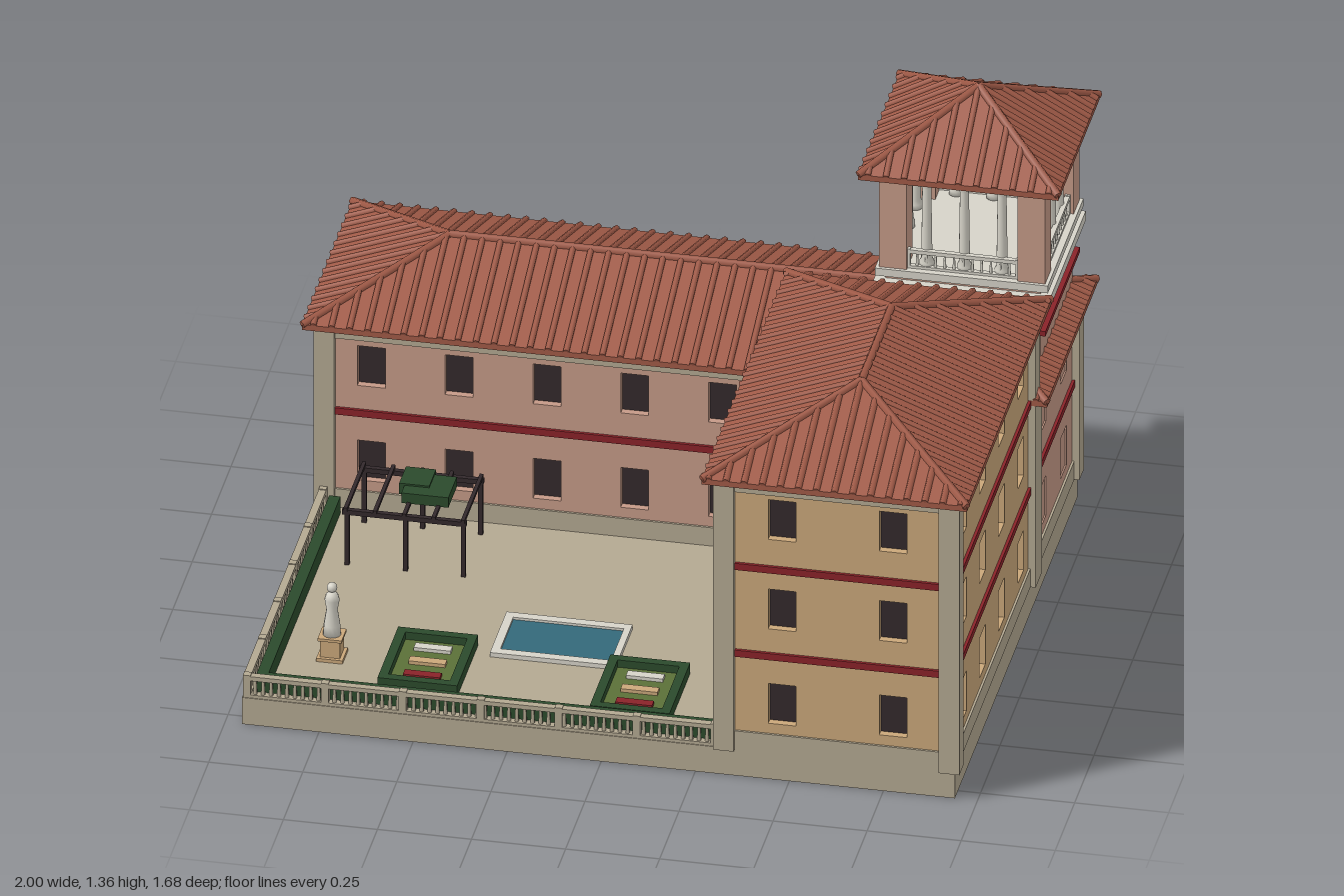
import * as THREE from 'three';
import { mergeGeometries } from 'three/addons/utils/BufferGeometryUtils.js';

const mat = (name, color, extra = {}) => {
  const m = new THREE.MeshStandardMaterial({ color, ...extra });
  m.name = name;
  return m;
};
const M = {
  tile: mat('roofTile', 0xa05a47), pink: mat('pinkPlaster', 0xc59a87), ochre: mat('ochrePlaster', 0xcaa77a),
  stone: mat('stone', 0xb3a891), red: mat('redBand', 0x8a2329), dark: mat('darkOpening', 0x33292c),
  white: mat('paleMarble', 0xd6d3c8), hedge: mat('hedgeGreen', 0x2b4a2c), grass: mat('grassGreen', 0x5b7038),
  water: mat('poolWater', 0x34697a),
};

export function createModel() {
  const model = new THREE.Group();
  model.name = 'villa';

  const add = (name, geo, m, parent = model) => {
    const mesh = new THREE.Mesh(geo, m);
    mesh.name = name;
    parent.add(mesh);
    return mesh;
  };
  // box geometry and mesh from min/max extents
  const boxGeo = (x0, x1, y0, y1, z0, z1) =>
    new THREE.BoxGeometry(x1 - x0, y1 - y0, z1 - z0).translate((x0 + x1) / 2, (y0 + y1) / 2, (z0 + z1) / 2);
  const box = (name, m, x0, x1, y0, y1, z0, z1, parent) => add(name, boxGeo(x0, x1, y0, y1, z0, z1), m, parent);
  const group = (name) => {
    const g = new THREE.Group();
    g.name = name;
    model.add(g);
    return g;
  };
  const rod = (p, q, r) => {
    const d = q.clone().sub(p);
    const turn = new THREE.Quaternion().setFromUnitVectors(new THREE.Vector3(0, 1, 0), d.clone().normalize());
    return new THREE.CylinderGeometry(r, r, d.length(), 6).applyQuaternion(turn)
      .translate(...p.clone().add(q).multiplyScalar(0.5).toArray());
  };

  // hipped roof with tile ribs running down every slope
  function hipRoof(name, x0, x1, z0, z1, y, h) {
    const g = group(name);
    const turned = z1 - z0 > x1 - x0;
    const a = Math.max(x1 - x0, z1 - z0) / 2, b = Math.min(x1 - x0, z1 - z0) / 2, r = a - b;
    const V = (px, py, pz) => new THREE.Vector3(px, py, pz);
    const A = V(-a, 0, b), B = V(a, 0, b), C = V(a, 0, -b), D = V(-a, 0, -b), P = V(-r, h, 0), Q = V(r, h, 0);
    const slopes = new THREE.BufferGeometry().setFromPoints([A, B, Q, A, Q, P, B, C, Q, C, D, P, C, P, Q, D, A, P]);
    slopes.computeVertexNormals();
    add('roofSlopes', slopes, M.tile, g);
    box('eaves', M.tile, -a, a, -0.016, 0, -b, b, g);
    const ribs = [];
    const step = 0.048;
    for (const s of [1, -1]) {
      const n = Math.floor(a / step), k = Math.floor(b / step);
      for (let i = -n; i <= n; i++) {
        const t = i * step, d = Math.min(b, a - Math.abs(t));
        if (d > 0.01) ribs.push(rod(V(t, 0, s * b), V(t, h * d / b, s * (b - d)), 0.009));
      }
      for (let i = -k; i <= k; i++) {
        const t = i * step, d = b - Math.abs(t);
        if (d > 0.01) ribs.push(rod(V(s * a, 0, t), V(s * (a - d), h * d / b, t), 0.009));
      }
    }
    add('tileRibs', mergeGeometries(ribs), M.tile, g);
    const caps = [rod(A, P, 0.011), rod(D, P, 0.011), rod(B, Q, 0.011), rod(C, Q, 0.011)];
    if (r > 0.02) caps.push(rod(P, Q, 0.011));
    add('ridgeCaps', mergeGeometries(caps), M.tile, g);
    if (turned) g.rotation.y = Math.PI / 2;
    g.position.set((x0 + x1) / 2, y, (z0 + z1) / 2);
  }

  // building wing: dark core, pierced wall panels, corner pilasters, bands and frieze
  function wing(name, m, x0, x1, z0, z1, top, sills, bands, windows) {
    const g = group(name);
    const cx = (x0 + x1) / 2, cz = (z0 + z1) / 2, bottom = 0.08;
    const inset = (n, mm, i, y0, y1) => box(n, mm, x0 + i, x1 - i, y0, y1, z0 + i, z1 - i, g);
    inset('darkInterior', M.dark, 0.04, bottom, top);
    inset('plinth', M.stone, 0.014, bottom, 0.135);
    inset('frieze', M.stone, 0.012, top - 0.035, top);
    bands.forEach((y) => inset('stringCourse', M.red, 0.012, y - 0.01, y + 0.01));
    const sides = [
      ['frontWall', 0, x1 - x0, z1 - z0, windows.front.map((x) => x - cx)],
      ['rightWall', Math.PI / 2, z1 - z0, x1 - x0, windows.side.map((z) => cz - z)],
      ['backWall', Math.PI, x1 - x0, z1 - z0, windows.back.map((x) => cx - x)],
      ['leftWall', -Math.PI / 2, z1 - z0, x1 - x0, windows.side.map((z) => z - cz)],
    ];
    for (const [n, angle, w, depth, us] of sides) {
      const e = w / 2 - 0.02;
      const rect = (T, l, rr, y0, y1) => new T([[l, y0], [rr, y0], [rr, y1], [l, y1]].map((p) => new THREE.Vector2(...p)));
      const shape = rect(THREE.Shape, -e, e, bottom, top);
      for (const u of us) for (const y of sills) shape.holes.push(rect(THREE.Path, u - 0.037, u + 0.037, y, y + 0.12));
      const geo = new THREE.ExtrudeGeometry(shape, { depth: 0.02, bevelEnabled: false });
      const wall = add(n, geo.translate(0, 0, depth / 2 - 0.04).rotateY(angle), m, g);
      wall.position.set(cx, 0, cz);
    }
    for (const x of [x0, x1 - 0.055]) for (const z of [z0, z1 - 0.055])
      box('cornerPilaster', M.stone, x, x + 0.055, bottom, top, z, z + 0.055, g);
  }

  // balustrade between two points, with regular posts
  function balustrade(name, m, xa, za, xb, zb, y, h, gap, postGap, thick) {
    const dx = xb - xa, dz = zb - za, len = Math.hypot(dx, dz), parts = [];
    const t = thick / 2;
    for (const [y0, y1] of [[y, y + h * 0.14], [y + h * 0.8, y + h]])
      parts.push(boxGeo(Math.min(xa, xb) - t, Math.max(xa, xb) + t, y0, y1, Math.min(za, zb) - t, Math.max(za, zb) + t));
    const n = Math.round(len / gap), k = Math.max(1, Math.round(len / postGap));
    for (let i = 1; i < n; i++)
      parts.push(new THREE.CylinderGeometry(t * 0.4, t * 0.6, h * 0.7, 6).translate(xa + dx * i / n, y + h * 0.46, za + dz * i / n));
    for (let i = 0; i <= k; i++)
      parts.push(new THREE.BoxGeometry(thick, h * 1.04, thick).translate(xa + dx * i / k, y + h * 0.52, za + dz * i / k));
    add(name, mergeGeometries(parts), m);
  }

  // base and main wings
  box('terraceBase', M.stone, -0.955, 0.94, 0, 0.08, -0.79, 0.79);
  wing('rearWing', M.pink, -0.97, 0.955, -0.8, -0.205, 0.625, [0.165, 0.45], [0.37], {
    front: [-0.82, -0.587, -0.353, -0.12, 0.113],
    back: [-0.82, -0.587, -0.353, -0.12, 0.113, 0.35, 0.587, 0.82], side: [-0.373, -0.635],
  });
  hipRoof('rearRoof', -0.995, 0.985, -0.83, -0.18, 0.643, 0.125);
  wing('frontWing', M.ochre, 0.3, 0.955, -0.235, 0.805, 0.892, [0.165, 0.45, 0.72], [0.37, 0.632], {
    front: [0.48, 0.775], back: [], side: [0.655, 0.41, 0.165, -0.085],
  });
  hipRoof('frontRoof', 0.275, 0.98, -0.26, 0.83, 0.908, 0.138);

  // belvedere tower
  const tx = 0.725, tz = -0.567;
  const slab = (n, m, half, y0, y1) => box(n, m, tx - half, tx + half, y0, y1, tz - half, tz + half);
  slab('towerShaft', M.pink, 0.206, 0.08, 0.88);
  slab('towerBand', M.red, 0.222, 0.742, 0.757);
  slab('lowerCornice', M.white, 0.235, 0.832, 0.86);
  slab('upperCornice', M.white, 0.23, 0.878, 0.9);
  slab('towerCeiling', M.white, 0.228, 1.165, 1.182);
  const column = new THREE.LatheGeometry([[0, 0], [0.02, 0], [0.02, 0.015], [0.015, 0.025], [0.012, 0.235],
    [0.018, 0.25], [0.018, 0.268], [0, 0.268]].map((p) => new THREE.Vector2(...p)), 12);
  for (const s of [-1, 1]) {
    for (const t of [-1, 1]) {
      const x = tx + s * 0.184, z = tz + t * 0.184;
      box('towerPier', M.pink, x - 0.037, x + 0.037, 0.9, 1.168, z - 0.037, z + 0.037);
    }
    for (const o of [-0.1, 0, 0.1]) {
      add('towerColumn', column, M.white).position.set(tx + o, 0.9, tz + s * 0.19);
      add('towerColumn', column, M.white).position.set(tx + s * 0.19, 0.9, tz + o);
    }
    balustrade('towerBalustrade', M.white, tx - 0.147, tz + s * 0.205, tx + 0.147, tz + s * 0.205, 0.9, 0.055, 0.025, 1, 0.014);
    balustrade('towerBalustrade', M.white, tx + s * 0.205, tz - 0.147, tx + s * 0.205, tz + 0.147, 0.9, 0.055, 0.025, 1, 0.014);
  }
  hipRoof('towerRoof', 0.458, 0.99, -0.833, -0.301, 1.198, 0.148);

  // terrace edge and hedges
  balustrade('frontBalustrade', M.stone, -0.943, 0.778, 0.3, 0.778, 0.08, 0.064, 0.021, 0.21, 0.02);
  balustrade('sideBalustrade', M.stone, -0.943, -0.2, -0.943, 0.778, 0.08, 0.064, 0.021, 0.21, 0.02);
  box('sideHedge', M.hedge, -0.925, -0.895, 0.08, 0.13, -0.19, 0.765);
  box('frontHedge', M.hedge, -0.925, 0.31, 0.08, 0.13, 0.733, 0.765);

  // pool
  box('poolWater', M.water, -0.345, -0.045, 0.08, 0.086, 0.262, 0.432);
  for (const [x0, x1, z0, z1] of [[-0.365, -0.03, 0.24, 0.265], [-0.365, -0.03, 0.43, 0.455],
    [-0.365, -0.342, 0.265, 0.43], [-0.048, -0.03, 0.265, 0.43]])
    box('poolCoping', M.white, x0, x1, 0.08, 0.093, z0, z1);

  // hedged flower beds
  for (const [x, z] of [[-0.513, 0.538], [0.057, 0.567]]) {
    box('bedLawn', M.grass, x - 0.09, x + 0.09, 0.08, 0.09, z - 0.12, z + 0.12);
    for (const s of [-1, 1]) {
      box('bedHedge', M.hedge, x - 0.106, x + 0.106, 0.08, 0.112, z + s * 0.122 - 0.012, z + s * 0.122 + 0.012);
      box('bedHedge', M.hedge, x + s * 0.094 - 0.012, x + s * 0.094 + 0.012, 0.08, 0.112, z - 0.115, z + 0.115);
    }
    [M.white, M.ochre, M.red].forEach((m, i) => {
      const c = z - 0.07 + i * 0.07;
      box('flowerRow', m, x - 0.049, x + 0.049, 0.088, 0.1, c - 0.013, c + 0.013);
    });
  }

  // garden statues on pedestals
  const figure = new THREE.LatheGeometry([[0, 0], [0.024, 0], [0.022, 0.03], [0.015, 0.075], [0.02, 0.105],
    [0.016, 0.12], [0.007, 0.126], [0, 0.128]].map((p) => new THREE.Vector2(...p)), 12);
  for (const [x, z] of [[0.182, -0.037], [-0.768, 0.535]]) {
    box('pedestalFoot', M.ochre, x - 0.035, x + 0.035, 0.08, 0.09, z - 0.035, z + 0.035);
    box('pedestal', M.ochre, x - 0.026, x + 0.026, 0.09, 0.14, z - 0.026, z + 0.026);
    box('pedestalCap', M.ochre, x - 0.032, x + 0.032, 0.14, 0.148, z - 0.032, z + 0.032);
    add('statueBody', figure, M.white).position.set(x, 0.148, z);
    add('statueHead', new THREE.SphereGeometry(0.014, 12, 8), M.white).position.set(x, 0.288, z);
  }

  // pergola with climbing foliage
  for (const z of [-0.16, 0.062]) {
    box('pergolaBeam', M.dark, -0.838, -0.508, 0.232, 0.246, z - 0.007, z + 0.007);
    for (const x of [-0.825, -0.67, -0.516]) box('pergolaPost', M.dark, x - 0.006, x + 0.006, 0.08, 0.235, z - 0.006, z + 0.006);
  }
  for (let i = 0; i < 5; i++) {
    const x = -0.828 + i * 0.078;
    box('pergolaRafter', M.dark, x - 0.005, x + 0.005, 0.244, 0.254, -0.172, 0.072);
  }
  box('foliage', M.hedge, -0.692, -0.567, 0.25, 0.28, -0.1, 0.01);
  box('foliage', M.hedge, -0.706, -0.626, 0.252, 0.285, -0.118, -0.03);
  return model;
}
